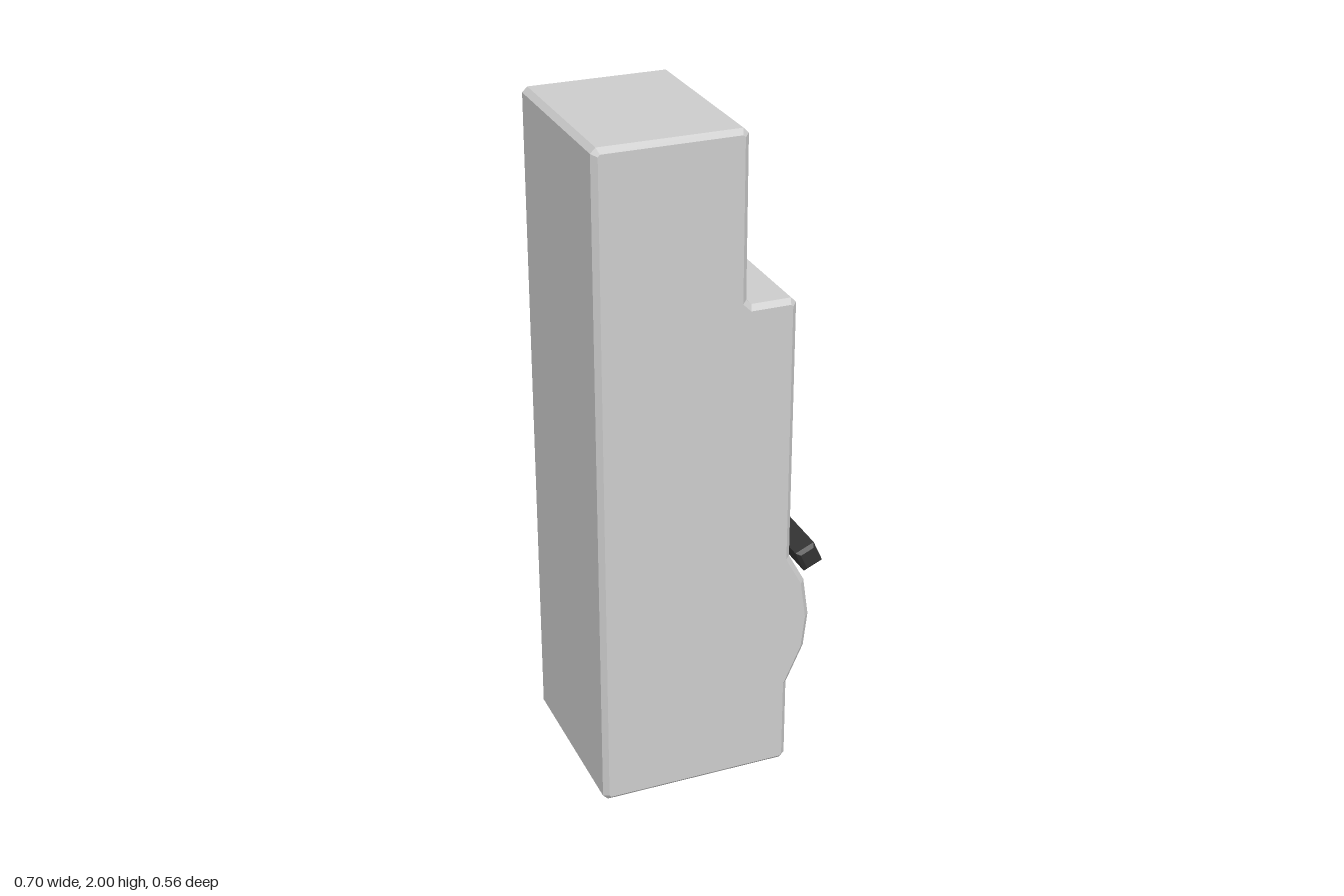
import * as THREE from 'three';

const grey = new THREE.MeshStandardMaterial({ color: 0xcccccc, flatShading: true });
const smoothGrey = new THREE.MeshStandardMaterial({ color: 0xcccccc });
const dark = new THREE.MeshStandardMaterial({ color: 0x333333, flatShading: true });

// Side profile, counter-clockwise; the points between ARC0 and ARC1 form the front bulge
const C = 0.015;
const bulge = [[0.237, 0.284], [0.283, 0.385], [0.295, 0.49], [0.278, 0.61], [0.237, 0.686]];
const profile = [
  [-0.335, 0], [0.215, 0], [0.23, C], [0.23, 0.27], ...bulge, [0.23, 0.7],
  [0.23, 1.49], [0.215, 1.505], [0.098, 1.505], [0.083, 1.52],
  [0.083, 1.985], [0.068, 2], [-0.335, 2], [-0.35, 1.985], [-0.35, C],
];
const ARC0 = 4, ARC1 = ARC0 + bulge.length - 1;

// Moves every edge of a closed profile inwards by d (mitred)
function inset(pts, d) {
  const n = pts.length;
  const normal = (a, b) => new THREE.Vector2(a[1] - b[1], b[0] - a[0]).normalize();
  return pts.map((p, i) => {
    const n1 = normal(pts[(i + n - 1) % n], p), n2 = normal(p, pts[(i + 1) % n]);
    const k = d / (1 + n1.dot(n2));
    return [p[0] + (n1.x + n2.x) * k, p[1] + (n1.y + n2.y) * k];
  });
}

const changeBulge = (fn) => profile.map((p, i) => (i >= ARC0 && i <= ARC1 ? fn(p) : p));

// Skins cross-sections [points, z] and caps both ends
function loft(sections) {
  const pos = [], idx = [], n = sections[0][0].length, last = sections.length - 1;
  sections.forEach(([pts, z]) => pts.forEach(([x, y]) => pos.push(x, y, z)));
  for (let k = 0; k < last; k++) {
    for (let i = 0; i < n; i++) {
      const j = (i + 1) % n, a = k * n, b = a + n;
      idx.push(a + i, a + j, b + j, a + i, b + j, b + i);
    }
  }
  const cap = THREE.ShapeUtils.triangulateShape(
    sections[0][0].map(([x, y]) => new THREE.Vector2(x, y)), []);
  cap.forEach(([a, b, c]) => idx.push(c, b, a, last * n + a, last * n + b, last * n + c));
  const g = new THREE.BufferGeometry();
  g.setAttribute('position', new THREE.Float32BufferAttribute(pos, 3));
  g.setIndex(idx);
  const flat = g.toNonIndexed();
  flat.computeVertexNormals();
  return flat;
}

// Extrusion along z, centred, with chamfers kept inside the given outline
function chamferedPrism(pts, depth, c) {
  const shape = new THREE.Shape(pts.map(([x, y]) => new THREE.Vector2(x, y)));
  const g = new THREE.ExtrudeGeometry(shape, {
    depth: depth - 2 * c, bevelThickness: c, bevelSize: c, bevelOffset: -c, bevelSegments: 1,
  });
  return g.translate(0, 0, -depth / 2 + c);
}

const rect = (w, h) => [[-w / 2, -h / 2], [w / 2, -h / 2], [w / 2, h / 2], [-w / 2, h / 2]];

export function createModel() {
  const model = new THREE.Group();
  const add = (name, geometry, material) => {
    const mesh = new THREE.Mesh(geometry, material);
    mesh.name = name;
    model.add(mesh);
    return mesh;
  };

  // Housing: chamfered sides, two bulging cheeks and a slot between them
  const rim = changeBulge(([x, y]) => [x - 0.012, y]);
  const slot = changeBulge(([x, y]) => [0.17, y]);
  const half = [[inset(profile, C), 0.282], [profile, 0.267], [profile, 0.17], [rim, 0.158], [slot, 0.157]];
  add('housing', loft([
    ...half.map(([p, z]) => [p, -z]),
    ...half.slice().reverse(),
  ]), grey);

  // Terminal screw dome on the upper step
  const dome = add('screwDome', new THREE.SphereGeometry(1, 16, 8), smoothGrey);
  dome.scale.set(0.035, 0.085, 0.085);
  dome.position.set(0.089, 1.757, 0);

  // Curved rocker filling the slot
  const rocker = [[0.15, 0.282], [0.222, 0.282]];
  for (let i = 0; i <= 8; i++) {
    const a = THREE.MathUtils.lerp(-0.5, 0.5, i / 8);
    rocker.push([-0.093 + 0.366 * Math.cos(a), 0.487 + 0.366 * Math.sin(a)]);
  }
  rocker.push([0.222, 0.684], [0.15, 0.684]);
  add('rocker', chamferedPrism(rocker, 0.314, 0.01), dark);

  // Neck and crossbar of the lever
  const lever = new THREE.Group();
  lever.name = 'lever';
  const bar = new THREE.Mesh(chamferedPrism(rect(0.063, 0.07), 0.51, 0.01), dark);
  bar.name = 'leverBar';
  const neck = new THREE.Mesh(chamferedPrism(rect(0.1, 0.05), 0.27, 0.008), dark);
  neck.name = 'leverNeck';
  neck.position.x = -0.05;
  lever.add(bar, neck);
  lever.position.set(0.304, 0.667, 0);
  lever.rotation.z = 0.42;
  model.add(lever);

  return model;
}
